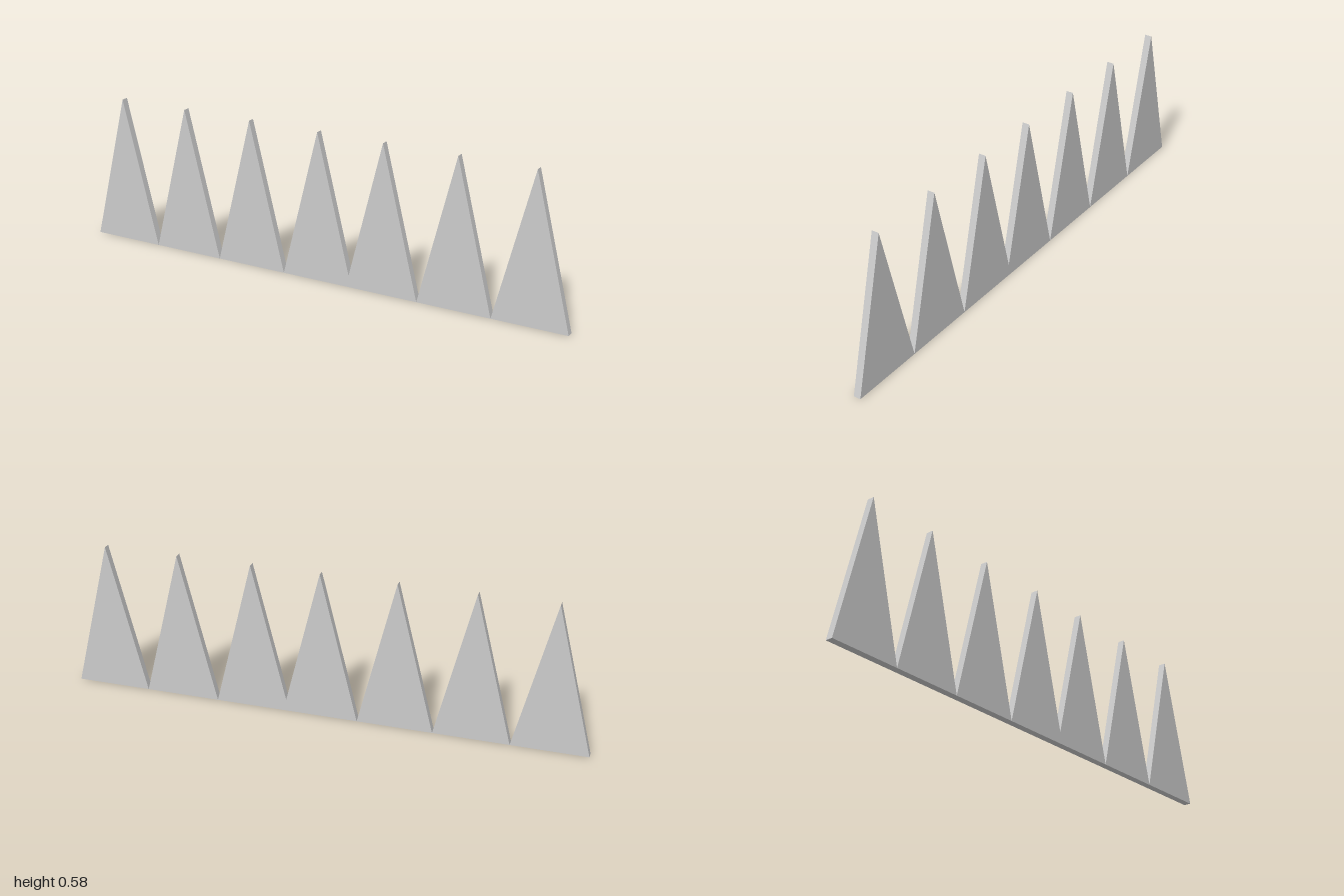
import * as THREE from 'three';

const WIDTH = 0.289;      // base width of one tooth
const HEIGHT = 0.578;     // tooth height
const THICKNESS = 0.028;  // depth of the flat strip

export function createModel() {
  const group = new THREE.Group();
  group.name = 'toothedStrip';
  const material = new THREE.MeshStandardMaterial({ color: 0xcccccc, flatShading: true });

  // Extrudes a flat outline, centred on z = 0
  const addPlate = (name, points) => {
    const shape = new THREE.Shape(points.map(([x, y]) => new THREE.Vector2(x, y)));
    const geometry = new THREE.ExtrudeGeometry(shape, { depth: THICKNESS, bevelEnabled: false });
    geometry.translate(0, 0, -THICKNESS / 2);
    const mesh = new THREE.Mesh(geometry, material);
    mesh.name = name;
    group.add(mesh);
  };

  // Three single teeth packed inwards from each end
  for (let i = 0; i < 3; i++) {
    const x = -1 + i * WIDTH;
    addPlate(`rightTooth${i + 1}`, [[x, 0], [x + WIDTH, 0], [x + WIDTH / 2, HEIGHT]]);
    addPlate(`leftTooth${i + 1}`, [[-x - WIDTH, 0], [-x, 0], [-x - WIDTH / 2, HEIGHT]]);
  }

  // The fourth tooth overlaps its left neighbour, so their shared valley sits higher
  const start = -1 + 3 * WIDTH;
  const leftStart = 1 - 3 * WIDTH;
  const overlap = start + WIDTH - leftStart;
  const valley = [leftStart + overlap / 2, overlap * HEIGHT / WIDTH];
  // Fill the overlap by extending the centre tooth under the valley
  addPlate('centreTooth', [
    [start, 0], [leftStart, 0], valley, [start + WIDTH / 2, HEIGHT],
  ]);

  return group;
}
